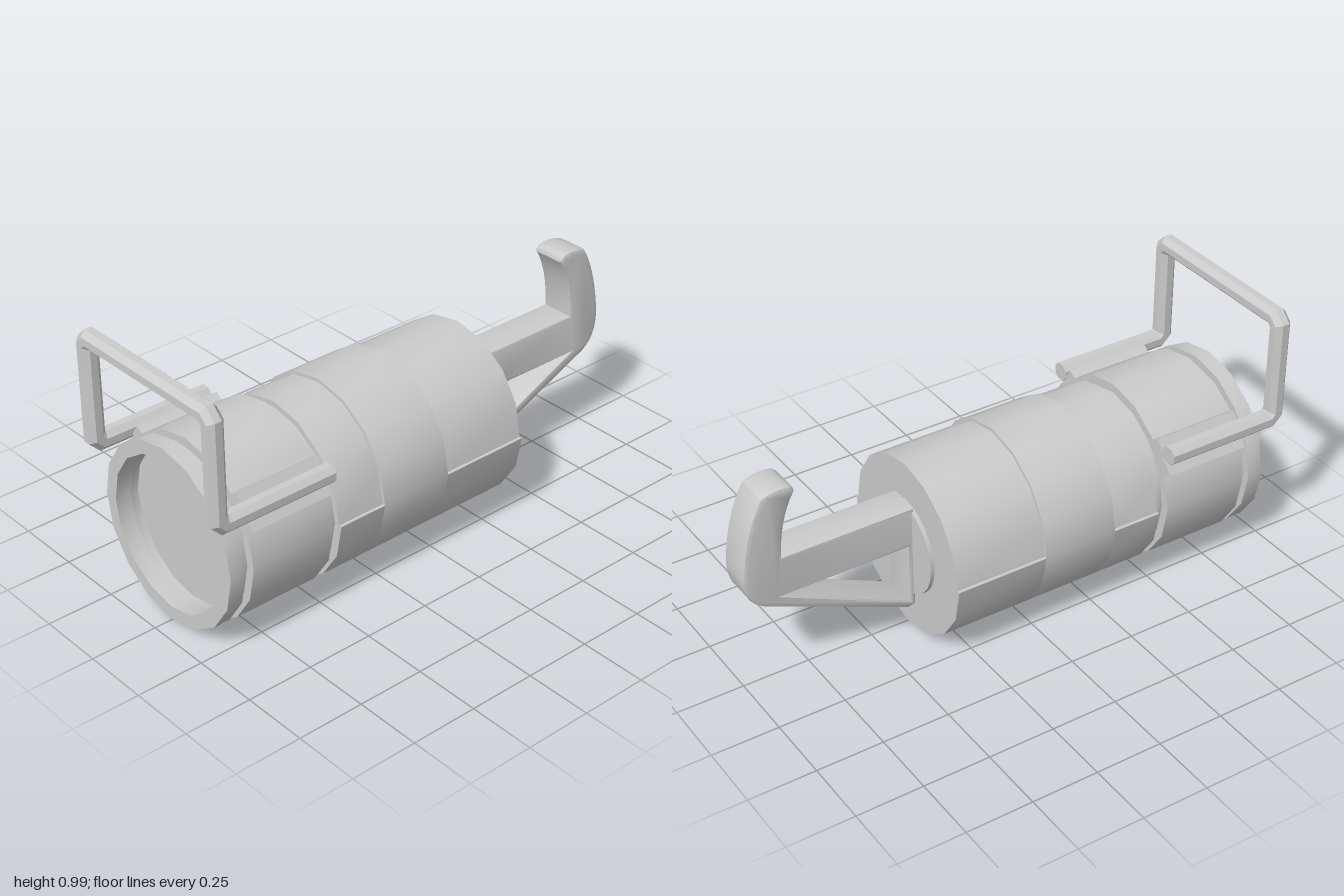
import * as THREE from 'three';
import { toCreasedNormals } from 'three/addons/utils/BufferGeometryUtils.js';

const SIDES = 16, AXIS_Y = 0.34;

export function createModel() {
  const group = new THREE.Group();
  const material = new THREE.MeshStandardMaterial({ color: 0xcccccc });

  function add(name, geometry) {
    const mesh = new THREE.Mesh(geometry, material);
    mesh.name = name;
    group.add(mesh);
    return mesh;
  }

  const arcPoints = (r, from, to) => {
    const pts = [];
    for (let k = from; k <= to; k++) {
      const a = (k / SIDES) * Math.PI * 2;
      pts.push(new THREE.Vector2(r * Math.cos(a), r * Math.sin(a)));
    }
    return pts;
  };

  // Slice of the barrel; its upper half may have a smaller radius than the lower
  function section(name, zBack, zFront, rTop, rBottom = rTop, rHole = 0) {
    const outline = rTop === rBottom
      ? arcPoints(rTop, 0, SIDES - 1)
      : [...arcPoints(rTop, 0, SIDES / 2), ...arcPoints(rBottom, SIDES / 2, SIDES)];
    const shape = new THREE.Shape(outline);
    if (rHole) shape.holes.push(new THREE.Path(arcPoints(rHole, 0, SIDES - 1)));
    const geo = new THREE.ExtrudeGeometry(shape, { depth: zFront - zBack, bevelEnabled: false });
    add(name, toCreasedNormals(geo, 0.5)).position.set(0, AXIS_Y, zBack);
  }

  section('rearBarrel', -0.35, 0, 0.326, 0.338);
  section('middleBand', 0, 0.285, 0.338);
  section('steppedBarrel', 0.285, 0.475, 0.326, 0.338);
  section('neckGroove', 0.475, 0.51, 0.305);
  section('frontBarrel', 0.51, 0.84, 0.338);
  section('frontGroove', 0.84, 0.87, 0.305, 0.305, 0.284);
  section('frontRim', 0.87, 0.93, 0.335, 0.335, 0.284);

  // Grooved clips that hold the handle, one on each upper side of the barrel
  const clipShape = new THREE.Shape();
  clipShape.moveTo(0.31, -0.068);
  clipShape.lineTo(0.363, -0.068);
  clipShape.lineTo(0.363, -0.024);
  clipShape.lineTo(0.354, 0);
  clipShape.lineTo(0.363, 0.024);
  clipShape.lineTo(0.363, 0.068);
  clipShape.lineTo(0.31, 0.068);
  const tilt = THREE.MathUtils.degToRad(33.75);
  for (const [name, angle] of [['leftClip', tilt], ['rightClip', Math.PI - tilt]]) {
    const geo = new THREE.ExtrudeGeometry(clipShape, { depth: 0.33, bevelEnabled: false });
    geo.rotateZ(angle);
    add(name, geo).position.set(0, AXIS_Y, 0.51);
  }

  add('wireHandle', handleGeometry());

  // Round mounting plate on the back
  const plate = new THREE.CylinderGeometry(0.183, 0.183, 0.02, 24).rotateX(Math.PI / 2);
  add('hookPlate', plate).position.set(0, AXIS_Y, -0.355);

  // Hook with its triangular brace, drawn in profile (distance to the back, height)
  const hook = new THREE.Shape();
  hook.moveTo(0.355, 0.525);
  hook.lineTo(0.855, 0.525);
  hook.bezierCurveTo(0.853, 0.62, 0.835, 0.7, 0.795, 0.765);
  hook.quadraticCurveTo(0.797, 0.787, 0.825, 0.791);
  hook.quadraticCurveTo(0.875, 0.797, 0.918, 0.777);
  hook.bezierCurveTo(0.965, 0.7, 0.99, 0.6, 1.0, 0.49);
  hook.bezierCurveTo(1.0, 0.42, 0.98, 0.378, 0.93, 0.35);
  hook.lineTo(0.385, 0.113);
  hook.lineTo(0.355, 0.122);
  hook.closePath();
  hook.holes.push(new THREE.Path([
    new THREE.Vector2(0.38, 0.37),
    new THREE.Vector2(0.38, 0.147),
    new THREE.Vector2(0.865, 0.37),
  ]));
  const bevel = 0.012, width = 0.134;
  const hookGeo = new THREE.ExtrudeGeometry(hook, {
    depth: width - 2 * bevel, curveSegments: 8,
    bevelThickness: bevel, bevelSize: bevel, bevelOffset: -bevel, bevelSegments: 2,
  });
  hookGeo.translate(0, 0, bevel - width / 2).rotateY(Math.PI / 2);
  add('hook', toCreasedNormals(hookGeo, 0.6));

  return group;
}

// Octagonal bar swept along a mitred path with clipped corners
function handleGeometry() {
  const V = (x, y, z) => new THREE.Vector3(x, y, z);
  const X = 0.325, LOW = 0.562, HIGH = 0.959, Z = 0.967;
  const corners = [V(X, LOW, 0.51), V(X, LOW, Z), V(X, HIGH, Z),
    V(-X, HIGH, Z), V(-X, LOW, Z), V(-X, LOW, 0.51)];
  const path = [];
  corners.forEach((p, i) => {
    if (i === 0 || i === corners.length - 1) return path.push(p);
    for (const q of [corners[i - 1], corners[i + 1]]) {
      path.push(p.clone().add(q.clone().sub(p).setLength(0.022)));
    }
  });

  const N = 8, radius = 0.033 / Math.cos(Math.PI / N);
  const dirs = path.slice(1).map((p, i) => p.clone().sub(path[i]).normalize());
  let ring = [];
  for (let k = 0; k < N; k++) {
    const a = ((k + 0.5) / N) * Math.PI * 2;
    ring.push(V(X + radius * Math.cos(a), LOW + radius * Math.sin(a), 0.51));
  }

  const verts = [];
  const tri = (...pts) => pts.forEach((p) => verts.push(p.x, p.y, p.z));
  const cap = (r, centre, flip) => r.forEach((p, k) => {
    const q = r[(k + 1) % N];
    flip ? tri(centre, q, p) : tri(centre, p, q);
  });
  cap(ring, path[0], true);
  for (let i = 1; i < path.length; i++) {
    const d = dirs[i - 1];
    const normal = d.clone().add(dirs[i] ?? d).normalize();
    // slide the previous ring along the bar onto the mitre plane
    const next = ring.map((p) =>
      p.clone().addScaledVector(d, path[i].clone().sub(p).dot(normal) / d.dot(normal)));
    for (let k = 0; k < N; k++) {
      const j = (k + 1) % N;
      tri(ring[k], ring[j], next[j]);
      tri(ring[k], next[j], next[k]);
    }
    ring = next;
  }
  cap(ring, path[path.length - 1], false);

  const geo = new THREE.BufferGeometry();
  geo.setAttribute('position', new THREE.Float32BufferAttribute(verts, 3));
  geo.computeVertexNormals();
  return geo;
}
